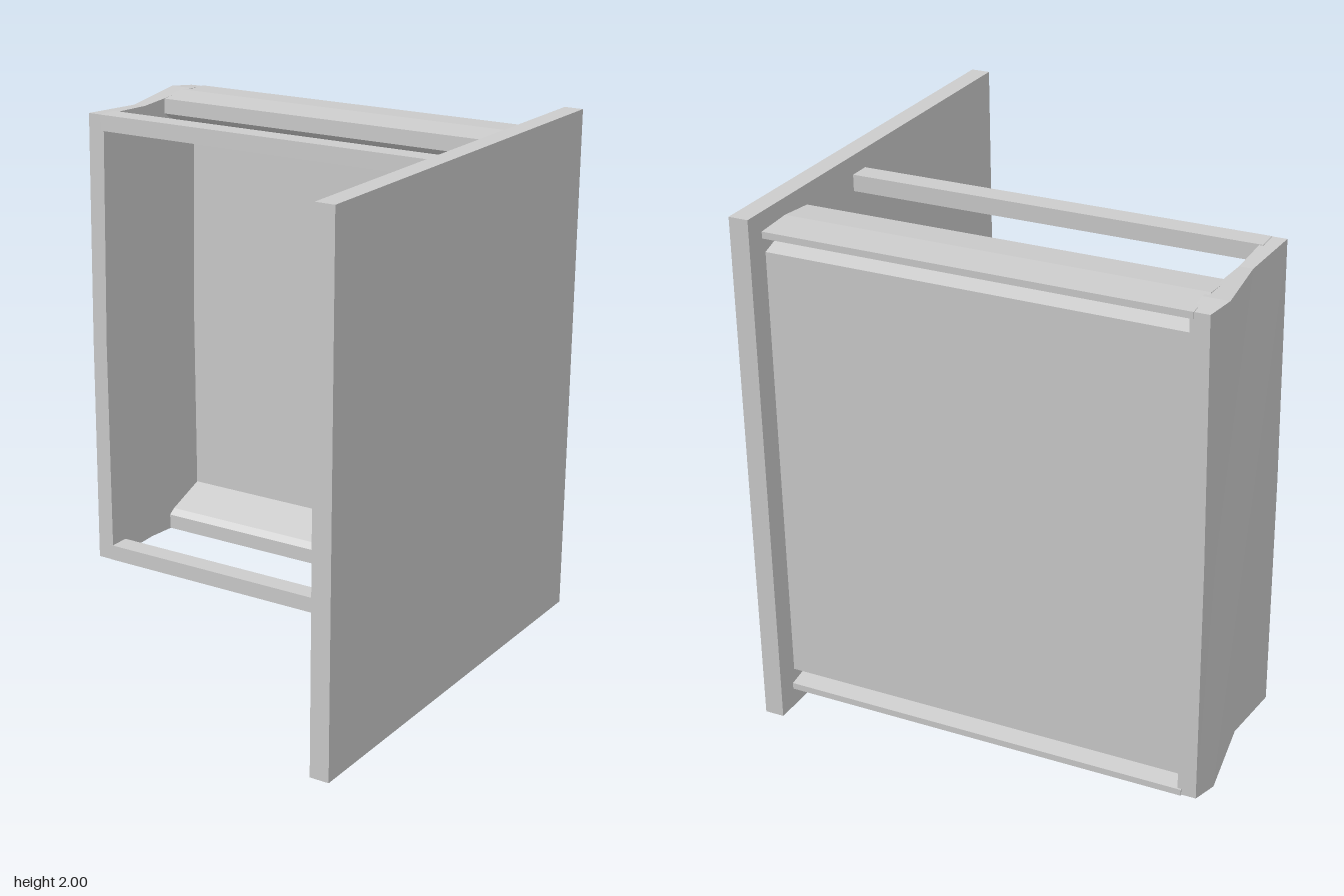
import * as THREE from 'three';

const material = new THREE.MeshStandardMaterial({ color: 0xcccccc, flatShading: true });
const HEIGHT = 2.005; // mirror sum for the lower side of the drawer body

// Extrudes a [z, y] profile along x
function extrudeAlongX(name, profile, x0, x1) {
  const shape = new THREE.Shape(profile.map(([z, y]) => new THREE.Vector2(-z, y)));
  const geo = new THREE.ExtrudeGeometry(shape, { depth: x1 - x0, bevelEnabled: false });
  geo.rotateY(Math.PI / 2).translate(x0, 0, 0);
  const mesh = new THREE.Mesh(geo, material);
  mesh.name = name;
  return mesh;
}

const mirrored = (profile) => profile.map(([z, y]) => [z, HEIGHT - y]).reverse();

// End wall lofted through three sections: flared corners, narrow waist
function createEndWall() {
  // [x at the ends, x in the middle, z, inset of the end]
  const section = [
    [-0.845, -0.85, -0.805, 0.01], [-0.87, -0.85, -0.7, 0],
    [-0.825, -0.85, -0.38, 0.02], [-0.845, -0.85, -0.11, 0.01],
    [-0.775, -0.785, -0.11, 0.01], [-0.775, -0.785, -0.38, 0.02],
    [-0.775, -0.785, -0.7, 0], [-0.775, -0.785, -0.805, 0.01],
  ];
  const n = section.length;
  const positions = [];
  const index = [];
  for (let r = 0; r < 3; r++) {
    for (const [xEnd, xMid, z, inset] of section) {
      const y = [0.067 + inset, 1.0, 1.938 - inset][r];
      positions.push(r === 1 ? xMid : xEnd, y, z);
    }
  }
  for (let r = 0; r < 2; r++) {
    for (let i = 0; i < n; i++) {
      const a = r * n + i, b = r * n + ((i + 1) % n);
      index.push(a, b, b + n, a, b + n, a + n);
    }
  }
  for (let i = 0; i < 3; i++) {
    const t = 2 * n;
    index.push(t + i, t + i + 1, t + 6 - i, t + i, t + 6 - i, t + 7 - i);
    index.push(i, 6 - i, i + 1, i, 7 - i, 6 - i);
  }
  const geo = new THREE.BufferGeometry();
  geo.setAttribute('position', new THREE.Float32BufferAttribute(positions, 3));
  geo.setIndex(index);
  geo.computeVertexNormals();
  const mesh = new THREE.Mesh(geo, material);
  mesh.name = 'endWall';
  return mesh;
}

export function createModel() {
  const model = new THREE.Group();
  model.name = 'drawer';

  // Large face panel
  const face = new THREE.Mesh(new THREE.BoxGeometry(0.075, 2, 1.78), material);
  face.position.set(0.8325, 1, 0);
  face.name = 'facePanel';
  model.add(face);

  // Floor with thick sloped sides and a V groove along each edge
  const side = [
    [-0.72, 1.78], [-0.545, 1.845], [-0.515, 1.865], [-0.515, 1.925],
    [-0.66, 1.938], [-0.81, 1.93], [-0.81, 1.905], [-0.69, 1.885], [-0.795, 1.85],
  ];
  model.add(extrudeAlongX('floorAndSides', [...side, ...mirrored(side)], -0.79, 0.8));

  // Slim rails along the open edge
  const rail = [[-0.195, 1.865], [-0.195, 1.928], [-0.108, 1.928], [-0.108, 1.865]];
  model.add(extrudeAlongX('upperRail', rail, -0.79, 0.8));
  model.add(extrudeAlongX('lowerRail', mirrored(rail), -0.79, 0.8));

  model.add(createEndWall());
  return model;
}
